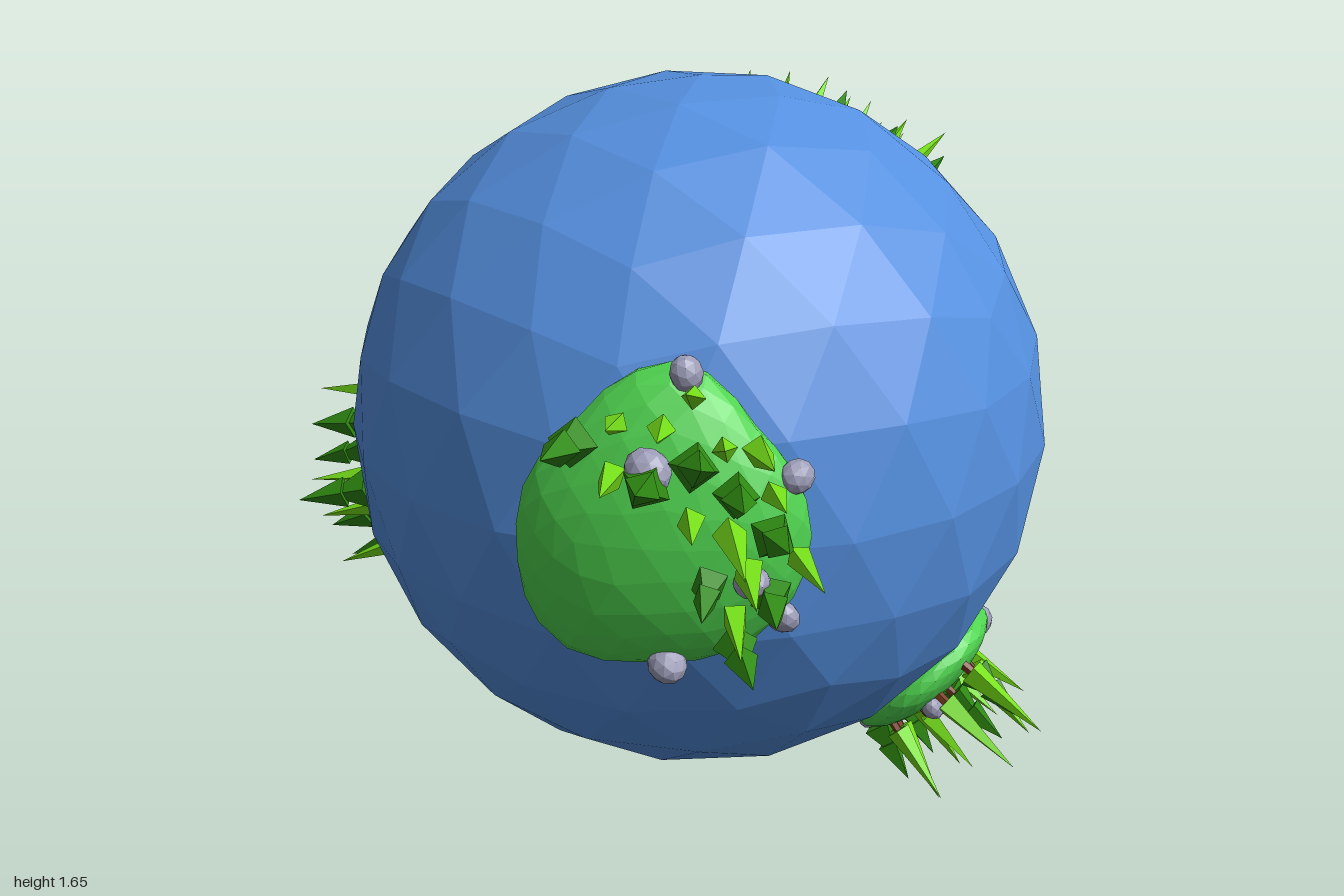
import * as THREE from 'three';

const R = 0.8;
const mat = (color) => new THREE.MeshStandardMaterial({ color, flatShading: true });
const ocean = mat(0x5590e0), grass = mat(0x4fd44f), bright = mat(0x76e01a),
  dark = mat(0x2f8a12), bark = mat(0x7a3a1c), stone = mat(0x9c9cb8);

// Each island: outward direction, dome height, coast radii (E, NE, N, NW, W, SW, S, SE),
// tree count, clearing [east, north, radius] and rocks [east, north, size]
const ISLANDS = [
  { name: 'frontIsland', dir: [0.38, 0.05, 0.75], top: 0.1, trees: 38, clearing: [-0.17, -0.14, 0.26],
    coast: [0.28, 0.27, 0.34, 0.29, 0.31, 0.35, 0.28, 0.28],
    rocks: [[0.03, 0.31, 0.035], [-0.03, 0.14, 0.045], [0.24, 0.12, 0.035], [0.15, -0.06, 0.035], [0.22, -0.17, 0.035], [0, -0.25, 0.04]] },
  { name: 'rightIsland', dir: [-0.75, -0.26, 0.1], top: 0.055, trees: 22, clearing: [0, 0, 0],
    coast: [0.2, 0.22, 0.25, 0.22, 0.2, 0.23, 0.26, 0.23],
    rocks: [[-0.18, 0.1, 0.03], [0, -0.03, 0.03], [0.1, -0.2, 0.035], [0.1, 0.14, 0.03]] },
  { name: 'lowerIsland', dir: [0.55, -0.57, -0.12], top: 0.06, trees: 16, clearing: [0.1, 0.14, 0.08],
    coast: [0.2, 0.21, 0.19, 0.19, 0.2, 0.19, 0.19, 0.18],
    rocks: [[-0.12, 0.02, 0.03], [0.17, 0.1, 0.04], [0.05, -0.1, 0.03], [0, -0.18, 0.03]] },
  { name: 'backIsland', dir: [-0.06, 0.33, -0.72], top: 0.065, trees: 44, clearing: [-0.2, -0.17, 0.2],
    coast: [0.34, 0.36, 0.27, 0.2, 0.32, 0.36, 0.24, 0.24],
    rocks: [[0.06, 0.2, 0.035], [-0.16, 0.06, 0.035], [-0.28, -0.05, 0.035], [-0.14, -0.13, 0.035], [-0.13, -0.3, 0.035], [0.06, -0.03, 0.035]] },
];

function seeded(seed) {
  return () => {
    seed = (seed * 16807) % 2147483647;
    return seed / 2147483647;
  };
}

function part(name, geometry, material, y = 0) {
  const mesh = new THREE.Mesh(geometry, material);
  mesh.name = name;
  mesh.position.y = y;
  return mesh;
}

function cone(radius, height) {
  return new THREE.ConeGeometry(radius, height, 4).translate(0, height / 2, 0);
}

const trunkGeo = new THREE.CylinderGeometry(0.01, 0.012, 0.06, 5);
const spireGeo = cone(0.03, 0.2);
const lowTierGeo = cone(0.046, 0.1);
const highTierGeo = cone(0.034, 0.11);
const rockGeo = new THREE.IcosahedronGeometry(1, 1);

// Slender bright spire or two-tier dark fir, growing along +y
function makeTree(fir) {
  const tree = new THREE.Group();
  tree.name = fir ? 'firTree' : 'spireTree';
  tree.add(part('trunk', trunkGeo, bark));
  if (fir) {
    tree.add(part('lowerFoliage', lowTierGeo, dark, 0.02));
    tree.add(part('upperFoliage', highTierGeo, dark, 0.075));
  } else {
    tree.add(part('foliage', spireGeo, bright, 0.02));
  }
  return tree;
}

function makeIsland(spec, seed) {
  const rand = seeded(seed);
  const island = new THREE.Group();
  island.name = spec.name;
  const out = new THREE.Vector3(...spec.dir).normalize();
  const east = new THREE.Vector3(0, 1, 0).cross(out).normalize();
  const north = out.clone().cross(east);

  // Smoothly interpolated coast radius for a compass angle
  const coastAt = (angle) => {
    const t = ((angle / (Math.PI / 4)) + 16) % 8;
    const i = Math.floor(t), k = (1 - Math.cos((t - i) * Math.PI)) / 2;
    return spec.coast[i % 8] * (1 - k) + spec.coast[(i + 1) % 8] * k;
  };
  // Point at an arc distance east and north, raised above the globe
  const place = (e, n, h) => {
    const d = Math.hypot(e, n) || 1e-6, a = d / R;
    return out.clone().multiplyScalar(Math.cos(a))
      .addScaledVector(east, (e / d) * Math.sin(a))
      .addScaledVector(north, (n / d) * Math.sin(a))
      .multiplyScalar(R + h);
  };
  const heightAt = (e, n) => {
    const rho = Math.min(1, Math.hypot(e, n) / coastAt(Math.atan2(n, e)));
    return spec.top * Math.pow(1 - rho * rho, 0.35);
  };

  // Low dome wrapped over the globe
  const land = new THREE.IcosahedronGeometry(1, 4);
  const pos = land.attributes.position;
  for (let i = 0; i < pos.count; i++) {
    const x = pos.getX(i), y = pos.getY(i), z = pos.getZ(i);
    const r = coastAt(Math.atan2(-z, x));
    const h = y > 0 ? spec.top * Math.pow(y, 0.7) : y * 0.05;
    const p = place(x * r, -z * r, h);
    pos.setXYZ(i, p.x, p.y, p.z);
  }
  land.computeVertexNormals();
  island.add(part('land', land, grass));

  // Trees in a spiral spread, leaving the clearing free
  const up = new THREE.Vector3(0, 1, 0);
  const [ce, cn, cr] = spec.clearing;
  for (let i = 0; i < spec.trees; i++) {
    const angle = (i * 2.39996) % (Math.PI * 2);
    const d = 0.88 * Math.sqrt((i + 0.5) / spec.trees) * coastAt(angle);
    const e = d * Math.cos(angle), n = d * Math.sin(angle);
    const size = 0.8 + 0.35 * rand(), spin = rand() * Math.PI;
    const lean = new THREE.Vector3(rand() - 0.5, rand() - 0.5, rand() - 0.5).multiplyScalar(0.25);
    if (Math.hypot(e - ce, n - cn) < cr) continue;
    const tree = makeTree(i % 5 < 2);
    tree.position.copy(place(e, n, heightAt(e, n)));
    tree.quaternion.setFromUnitVectors(up, tree.position.clone().normalize().add(lean).normalize());
    tree.rotateY(spin);
    tree.scale.setScalar(size);
    island.add(tree);
  }

  // Rocks
  for (const [e, n, size] of spec.rocks) {
    const rock = part('rock', rockGeo, stone);
    rock.position.copy(place(e, n, heightAt(e, n) + size * 0.3));
    rock.rotation.set(rand() * 3, rand() * 3, rand() * 3);
    rock.scale.set(size, size * 0.85, size * 1.1);
    island.add(rock);
  }
  return island;
}

export function createModel() {
  const planet = new THREE.Group();
  planet.name = 'planet';
  // Faceted globe with a corner at each pole
  const globe = new THREE.IcosahedronGeometry(R, 3).rotateZ(-Math.atan(2 / (1 + Math.sqrt(5))));
  planet.add(part('globe', globe, ocean));
  ISLANDS.forEach((spec, i) => planet.add(makeIsland(spec, 101 + i * 37)));
  planet.position.set(0.1, 0.88, 0);

  const model = new THREE.Group();
  model.name = 'model';
  model.add(planet);
  return model;
}
